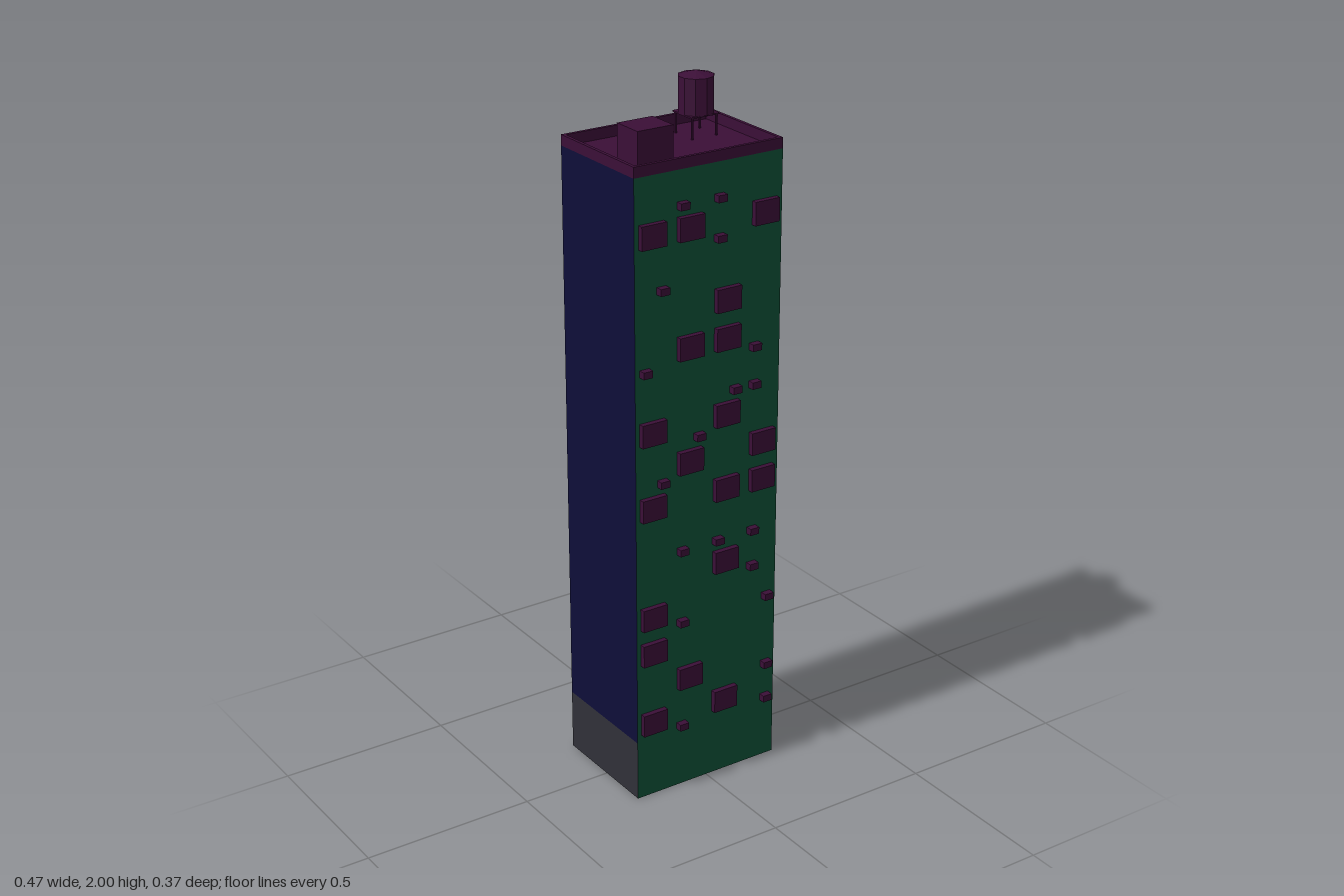
import * as THREE from 'three';

const paint = (name, color, side = THREE.FrontSide) => {
  const m = new THREE.MeshStandardMaterial({ color, side });
  m.name = name;
  return m;
};

export function createModel() {
  const model = new THREE.Group();
  model.name = 'towerBlock';

  const green = paint('green', 0x105238, THREE.DoubleSide);
  const navy = paint('navy', 0x0e0e38, THREE.DoubleSide);
  const grey = paint('grey', 0x303038, THREE.DoubleSide);
  const purple = paint('purple', 0x3b0f37, THREE.DoubleSide);

  const X = 0.233, Z0 = -0.184, Z1 = 0.163;
  const ZC = (Z0 + Z1) / 2, W = 2 * X, D = Z1 - Z0;
  const BASE = 0.18, TOP = 1.825, RIM = 1.855;

  const add = (parent, name, geometry, material, x, y, z) => {
    const mesh = new THREE.Mesh(geometry, material);
    mesh.name = name;
    mesh.position.set(x, y, z);
    parent.add(mesh);
    return mesh;
  };
  const box = (parent, name, w, h, d, x, y, z) =>
    add(parent, name, new THREE.BoxGeometry(w, h, d), purple, x, y, z);

  // Shell: single-sheet walls, open underneath
  const wall = (name, material, width, y0, y1, x, z, turn) => {
    const mesh = add(model, name, new THREE.PlaneGeometry(width, y1 - y0), material, x, (y0 + y1) / 2, z);
    mesh.rotation.y = turn;
  };
  wall('frontWall', green, W, 0, TOP, 0, Z1, 0);
  wall('backWall', green, W, BASE, TOP, 0, Z0, Math.PI);
  wall('backBase', purple, W, 0, BASE, 0, Z0, Math.PI);
  for (const s of [-1, 1]) {
    const side = s > 0 ? 'left' : 'right';
    wall(side + 'Wall', navy, D, BASE, TOP, s * X, ZC, s * Math.PI / 2);
    wall(side + 'Base', grey, D, 0, BASE, s * X, ZC, s * Math.PI / 2);
  }

  // Roof slab and parapet
  const roof = add(model, 'roof', new THREE.PlaneGeometry(W, D), purple, 0, TOP, ZC);
  roof.rotation.x = -Math.PI / 2;
  const rect = (path, w, d) => path
    .moveTo(-w / 2, -d / 2).lineTo(w / 2, -d / 2).lineTo(w / 2, d / 2).lineTo(-w / 2, d / 2).closePath();
  const rim = new THREE.Shape();
  rect(rim, W, D);
  const opening = new THREE.Path();
  rect(opening, W - 0.02, D - 0.02);
  rim.holes.push(opening);
  const parapet = add(model, 'parapet',
    new THREE.ExtrudeGeometry(rim, { depth: RIM - TOP, bevelEnabled: false }), purple, 0, TOP, ZC);
  parapet.rotation.x = -Math.PI / 2;

  // Stair housing
  box(model, 'stairHousing', 0.11, 0.097, 0.096, -0.122, TOP + 0.0485, 0.048);

  // Water tank on four legs
  const tank = new THREE.Group();
  tank.name = 'waterTank';
  tank.position.set(0.119, 0, -0.072);
  model.add(tank);
  add(tank, 'tankBarrel', new THREE.CylinderGeometry(0.05, 0.05, 0.1, 10).toNonIndexed(), purple, 0, 1.937, 0)
    .geometry.computeVertexNormals();
  add(tank, 'tankLid', new THREE.ConeGeometry(0.05, 0.013, 10).toNonIndexed(), purple, 0, 1.9935, 0)
    .geometry.computeVertexNormals();
  box(tank, 'tankPlatform', 0.091, 0.004, 0.089, 0, 1.885, 0);
  for (const x of [-0.039, 0.039])
    for (const z of [-0.039, 0.039])
      box(tank, 'tankLeg', 0.005, 0.062, 0.005, x, TOP + 0.029, z);

  // Large front boxes: [row, columns]
  const large = [
    [0, [0, 2]], [1, [1]], [2, [0]], [3, [0]], [4, [2]], [6, [0, 2, 3]],
    [7, [1, 3]], [8, [0, 2]], [10, [1, 2]], [11, [2]], [13, [0, 1, 3]],
  ];
  for (const [row, cols] of large)
    for (const c of cols)
      box(model, 'windowBox', 0.078, 0.066, 0.016, -0.181 + 0.119 * c, 0.236 + 0.11 * row, Z1 + 0.008);

  // Small front units: [row, half-columns], two half-columns to each column
  const small = [
    [0, [2, 7]], [1, [7]], [3, [2, 7]], [4, [6]], [5, [2, 4, 6]], [7, [1]], [8, [3]],
    [9, [5, 6]], [10, [0, 6]], [12, [1]], [13, [4]], [14, [2, 4]],
  ];
  for (const [row, halves] of small)
    for (const h of halves) {
      const x = -0.177 + 0.117 * Math.floor(h / 2) + (h % 2 ? 0.027 : -0.027);
      box(model, 'airUnit', 0.029, 0.02, 0.02, x, 0.194 + 0.1097 * row, Z1 + 0.01);
    }

  return model;
}
